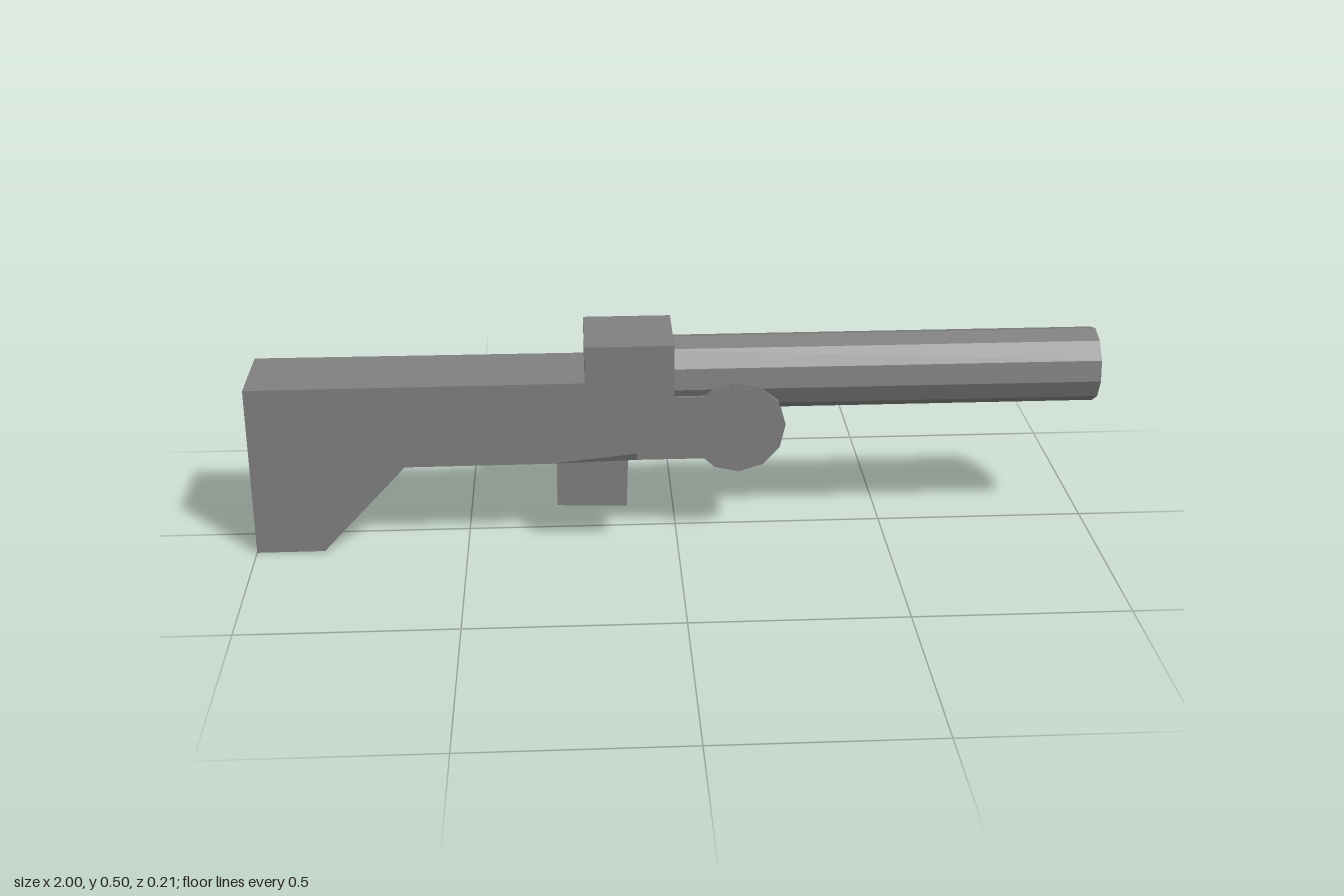
import * as THREE from 'three';
import { ConvexGeometry } from 'three/addons/geometries/ConvexGeometry.js';

export function createModel() {
  const group = new THREE.Group();
  const material = new THREE.MeshStandardMaterial({ color: 0x808080, flatShading: true });

  const add = (name, geometry, x = 0, y = 0) => {
    const mesh = new THREE.Mesh(geometry, material);
    mesh.name = name;
    mesh.position.set(x, y, 0);
    group.add(mesh);
    return mesh;
  };

  // Side profile extruded across z, centred on z = 0
  const slab = (points, width) => {
    const shape = new THREE.Shape(points.map(([x, y]) => new THREE.Vector2(x, y)));
    return new THREE.ExtrudeGeometry(shape, { depth: width, bevelEnabled: false })
      .translate(0, 0, -width / 2);
  };

  // Stock with a dropped butt, narrowing slightly towards the front
  const halfWidth = (x) => 0.103 * (1 - 0.045 * (x + 1) / 0.905);
  const stock = slab([
    [-1, 0], [-0.84, 0], [-0.64, 0.213], [-0.3, 0.213],
    [-0.095, 0.234], [-0.095, 0.415], [-1, 0.415],
  ], 2);
  const p = stock.attributes.position;
  for (let i = 0; i < p.count; i++) p.setZ(i, p.getZ(i) * halfWidth(p.getX(i)));
  stock.computeVertexNormals();
  add('stock', stock);

  // Chamfered underside blending the stock into the narrower arm
  const corners = [[-0.3, 0.213, halfWidth(-0.3)], [-0.095, 0.234, halfWidth(-0.095)], [-0.095, 0.213, 0.088]];
  add('stockChamfer', new ConvexGeometry(corners.flatMap(([x, y, z]) =>
    [1, -1].map((side) => new THREE.Vector3(x, y, z * side)))));

  // Raised block holding the barrel
  add('receiverBlock', new THREE.BoxGeometry(0.208, 0.205, 0.206), -0.111, 0.4025);

  // Eleven-sided barrel with a corner on top
  const barrel = new THREE.CylinderGeometry(0.089, 0.089, 1.06, 11, 1, false, -Math.PI / 2);
  add('barrel', barrel.rotateZ(-Math.PI / 2), 0.47, 0.401);

  // Arm under the barrel, ending in a crosswise drum
  add('underArm', slab([[-0.1, 0.213], [0.1, 0.213], [0.1, 0.37], [-0.1, 0.37]], 0.176));
  const drum = new THREE.CylinderGeometry(0.114, 0.114, 0.176, 12, 1, false, Math.PI / 2 + 0.04);
  add('drum', drum.rotateX(Math.PI / 2), 0.142, 0.291);

  // Slightly tilted block below the stock
  add('lowerBlock', new THREE.BoxGeometry(0.165, 0.16, 0.166), -0.2, 0.174).rotation.z = -0.035;

  return group;
}
